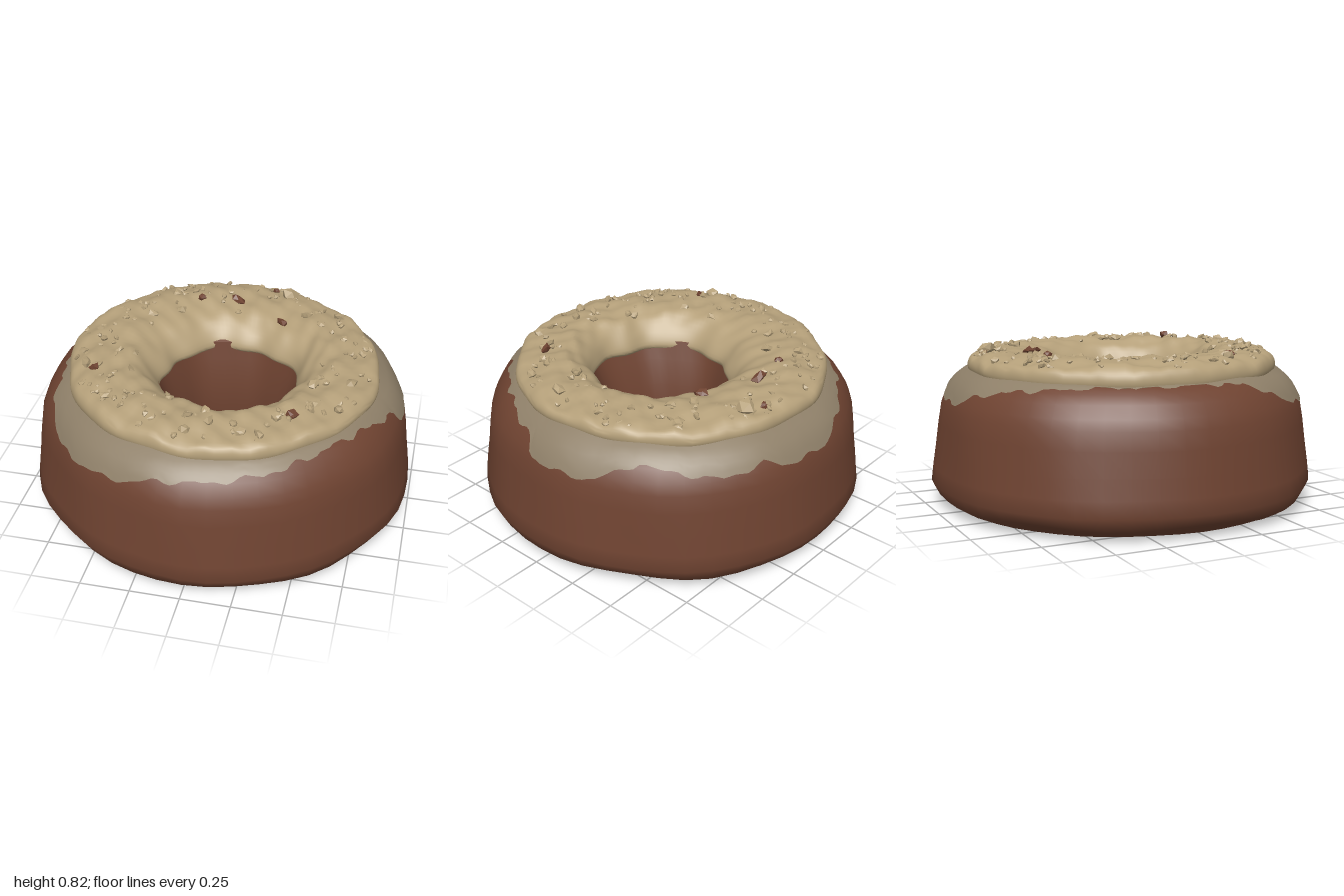
import * as THREE from 'three';
import { mergeGeometries, toCreasedNormals } from 'three/addons/utils/BufferGeometryUtils.js';

const brown = new THREE.MeshStandardMaterial({ color: 0x6f4331 });
brown.name = 'chocolateBrown';
const tan = new THREE.MeshStandardMaterial({ color: 0xb5a07a });
tan.name = 'frostingTan';
const grey = new THREE.MeshStandardMaterial({ color: 0x8f8069, side: THREE.DoubleSide });
grey.name = 'glazeGreyTan';

// seeded random numbers
let seed = 11;
const rand = () => {
  seed = (seed * 16807) % 2147483647;
  return seed / 2147483647;
};

// piecewise linear lookup in [key, value] pairs sorted by key
function lookup(table, k) {
  if (k <= table[0][0]) return table[0][1];
  for (let i = 1; i < table.length; i++) {
    const [k0, v0] = table[i - 1], [k1, v1] = table[i];
    if (k <= k1) return v0 + ((v1 - v0) * (k - k0)) / (k1 - k0);
  }
  return table[table.length - 1][1];
}

// lathe whose vertices are moved by a rule (angle, radius, y) -> [x, y, z]
function ring(profile, segments, rule, crease) {
  const geo = new THREE.LatheGeometry(profile.map(([r, y]) => new THREE.Vector2(r, y)), segments);
  const p = geo.attributes.position;
  const n = profile.length;
  for (let i = 0; i < p.count; i++) {
    const [r, y] = profile[i % n];
    const a = ((Math.floor(i / n) % segments) / segments) * Math.PI * 2;
    p.setXYZ(i, ...rule(a, r, y));
  }
  return toCreasedNormals(geo, crease);
}

// outer wall of the cake: [y, radius]
const wall = [
  [0.03, 0.91], [0.06, 0.96], [0.12, 0.99], [0.2, 0.98], [0.3, 0.965], [0.42, 0.95],
  [0.51, 0.935], [0.56, 0.915], [0.62, 0.88], [0.66, 0.84], [0.69, 0.795], [0.71, 0.74],
];
const wobble = (a, y) => 1 + 0.005 * Math.sin(5 * a + 1 + 2 * y) + 0.004 * Math.sin(11 * a + 4 * y);

function cakeRule(a, r, y) {
  const inner = r < 0.45 ? 1 : 0;
  const low = y < 0.1 && y > 0.012 && !inner ? 0.008 * Math.sin(7 * a) : 0;
  const rr = r * (inner ? 1 + 0.03 * Math.sin(3 * a + 1) + 0.025 * Math.sin(7 * a) : wobble(a, y));
  const dx = inner * (0.015 + 0.03 * y);
  const dz = inner * (-0.015 + 0.08 * y);
  return [rr * Math.sin(a) + dx, y + low, rr * Math.cos(a) + dz];
}

// frosting cross-section, outer rim over the top to the hole
const frostingPoints = [
  [0.77, 0.67], [0.79, 0.685], [0.795, 0.72], [0.78, 0.75], [0.73, 0.77], [0.64, 0.785],
  [0.55, 0.785], [0.47, 0.768], [0.41, 0.73], [0.365, 0.675], [0.345, 0.62], [0.36, 0.6],
];
const topTable = frostingPoints.slice(3, 10).reverse();

function frostingRule(a, r, y) {
  const w = THREE.MathUtils.clamp((0.55 - r) / 0.2, 0, 1);
  const x = r * Math.sin(a), z = r * Math.cos(a);
  const h = THREE.MathUtils.clamp((y - 0.69) / 0.08, 0, 1);
  const bump = Math.sin(19 * x + 7 * z) * Math.sin(17 * z - 5 * x + 1)
    + 0.8 * Math.sin(41 * x - 13 * z) * Math.sin(37 * z + 9 * x);
  const k = 1 + 0.006 * Math.sin(6 * a) + 0.006 * Math.sin(13 * a + 2)
    + w * (0.03 * Math.sin(4 * a) + 0.025 * Math.sin(9 * a + 1));
  return [x * k + 0.035 * w, y + h * (0.011 * bump - 0.016 * x), z * k + 0.04 * w];
}

// lower edge of the glaze by angle in degrees, 0 = front, 90 = left side (+x)
const drip = [
  [0, 0.62], [12, 0.63], [25, 0.645], [45, 0.67], [62, 0.675], [74, 0.64], [82, 0.62], [85, 0.54],
  [105, 0.53], [112, 0.57], [122, 0.64], [135, 0.6], [146, 0.57], [160, 0.6], [168, 0.55],
  [185, 0.55], [194, 0.61], [210, 0.655], [235, 0.685], [275, 0.69], [290, 0.67], [298, 0.62],
  [308, 0.56], [320, 0.535], [336, 0.55], [345, 0.575], [350, 0.61], [360, 0.62],
];

function glazeRule(a, r, v) {
  const jag = 0.006 * Math.round(Math.sin(23 * a) + 0.8 * Math.sin(41 * a + 1));
  const edge = Math.min(lookup(drip, (a * 180) / Math.PI) + jag, 0.69);
  const y = edge + (0.7 - edge) * v;
  const rr = lookup(wall, y) * wobble(a, y) + 0.007;
  return [rr * Math.sin(a), y + 0.003, rr * Math.cos(a)];
}

// rough little nugget resting in the frosting
function crumb(x, z, size) {
  const geo = new THREE.IcosahedronGeometry(size, 0);
  const p = geo.attributes.position;
  const s = rand() * 6;
  for (let i = 0; i < p.count; i++) {
    const k = 1 + 0.35 * Math.sin(s + (p.getX(i) * 3 + p.getY(i) * 5 + p.getZ(i) * 7) / size);
    p.setXYZ(i, p.getX(i) * k, p.getY(i) * k * 0.75, p.getZ(i) * k);
  }
  geo.rotateX(rand() - 0.5).rotateY(rand() * 6).rotateZ(rand() - 0.5);
  const r = Math.hypot(x, z);
  geo.translate(x, lookup(topTable, r) - 0.016 * x + size * 0.25, z);
  geo.computeVertexNormals();
  return geo;
}

export function createModel() {
  const group = new THREE.Group();
  const add = (name, geo, material) => {
    const mesh = new THREE.Mesh(geo, material);
    mesh.name = name;
    group.add(mesh);
  };

  // cake body: underside, outer wall, hidden top, hole
  const body = [
    [0.31, 0.02], [0.5, 0.004], [0.8, 0], [0.88, 0.012],
    ...wall.map(([y, r]) => [r, y]),
    [0.55, 0.71], [0.44, 0.68], [0.375, 0.65], [0.345, 0.55], [0.305, 0.42], [0.285, 0.25], [0.29, 0.1], [0.31, 0.02],
  ];
  add('cake', ring(body, 48, cakeRule, 0.7), brown);

  // thin glaze running down the shoulder
  const strip = [0, 0.2, 0.4, 0.6, 0.8, 1].map((v) => [0.9, v]);
  add('glaze', ring(strip, 192, glazeRule, 0.7), grey);

  // frosting ring
  const curve = new THREE.CatmullRomCurve3(frostingPoints.map(([r, y]) => new THREE.Vector3(r, y, 0)));
  const section = curve.getPoints(34).map((p) => [p.x, p.y]);
  add('frosting', ring(section, 120, frostingRule, 0.6), tan);

  // pale crumbs scattered over the frosting
  const crumbs = [crumb(0.22, -0.66, 0.05)];
  for (let i = 0; i < 170; i++) {
    const a = rand() * Math.PI * 2;
    const r = 0.44 + 0.32 * Math.sqrt(rand());
    crumbs.push(crumb(r * Math.sin(a), r * Math.cos(a), 0.013 + 0.02 * rand() * rand()));
  }
  add('crumbs', mergeGeometries(crumbs), tan);

  // a few chocolate crumbs
  const spots = [[-0.04, -0.53, 0.034], [-0.24, -0.51, 0.025], [0.23, -0.39, 0.03], [0.14, -0.7, 0.02],
    [0.43, 0.48, 0.028], [-0.6, 0.3, 0.025]];
  add('chocolateCrumbs', mergeGeometries(spots.map((s) => crumb(...s))), brown);

  return group;
}
